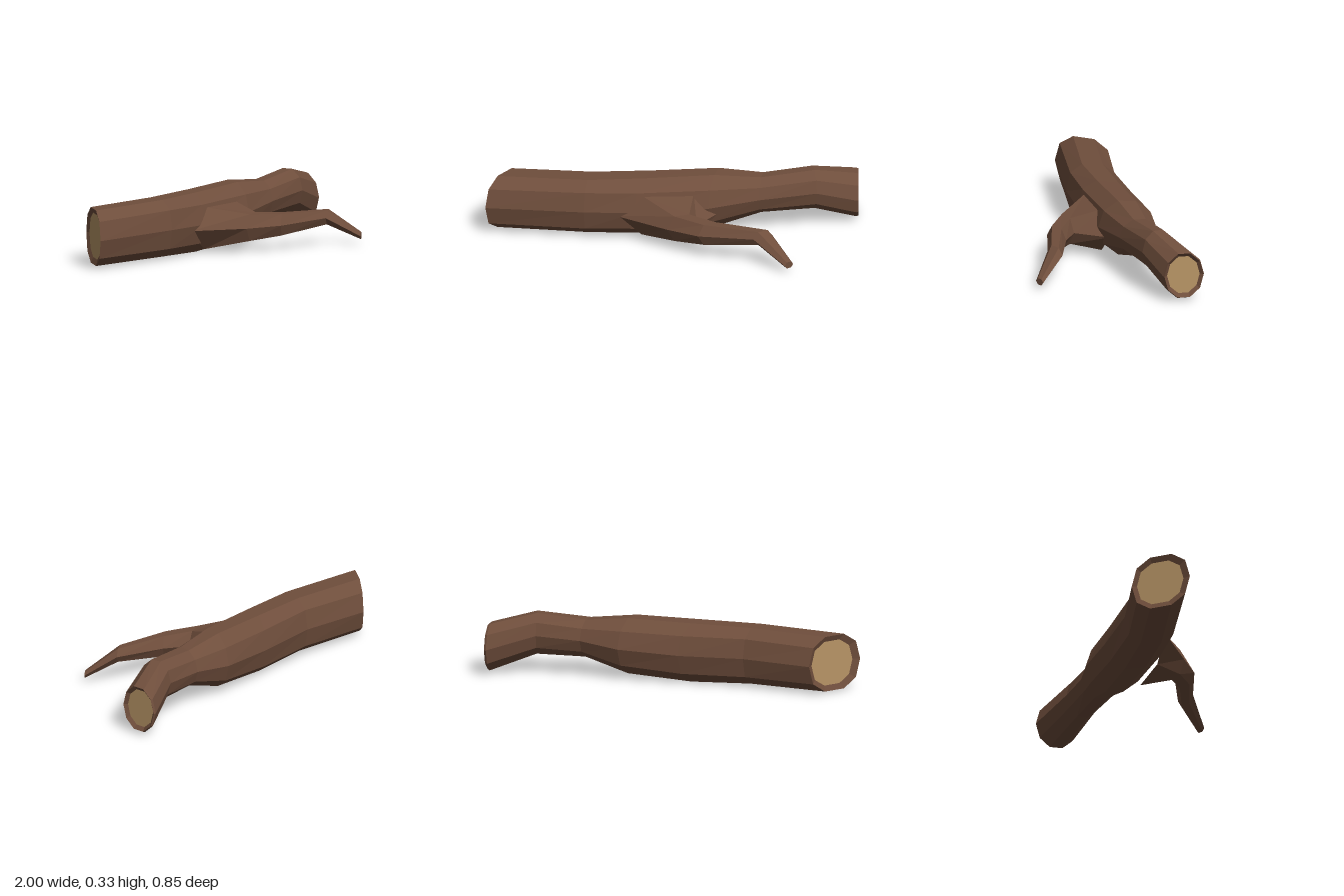
import * as THREE from 'three';

const bark = new THREE.MeshStandardMaterial({ color: 0x6f4e3c, flatShading: true });
bark.name = 'bark brown';
const wood = new THREE.MeshStandardMaterial({ color: 0xb89566, flatShading: true });
wood.name = 'cut wood tan';

// Ring through a front point and a back point (x, z), between two heights.
// k below 1 makes the section boxier.
function ring(n, [fx, fz, bx, bz, lo, hi, k = 1]) {
  const pow = (v) => Math.sign(v) * Math.abs(v) ** k;
  const angles = Array.from({ length: n }, (_, j) => (j / n) * Math.PI * 2);
  const top = Math.max(...angles.map((a) => pow(Math.sin(a))));
  return angles.map((a) => {
    const c = pow(Math.cos(a)) / 2;
    return new THREE.Vector3(
      (fx + bx) / 2 + (fx - bx) * c,
      (lo + hi) / 2 + ((hi - lo) / 2) * (pow(Math.sin(a)) / top),
      (fz + bz) / 2 + (fz - bz) * c
    );
  });
}

function centre(r) {
  return r.reduce((s, p) => s.add(p), new THREE.Vector3()).divideScalar(r.length);
}

// Copy of a ring, shrunk about its centre and pushed along x
function inset(r, scale, dx) {
  const c = centre(r);
  return r.map((p) => p.clone().sub(c).multiplyScalar(scale).add(c).add(new THREE.Vector3(dx, 0, 0)));
}

function mesh(name, points, material) {
  const g = new THREE.BufferGeometry().setFromPoints(points);
  g.computeVertexNormals();
  const m = new THREE.Mesh(g, material);
  m.name = name;
  return m;
}

function loft(name, rings, material) {
  const pts = [];
  for (let i = 0; i + 1 < rings.length; i++) {
    const r = rings[i], s = rings[i + 1], n = r.length;
    for (let j = 0; j < n; j++) {
      const k = (j + 1) % n;
      pts.push(r[j], s[j], s[k], r[j], s[k], r[k]);
    }
  }
  return mesh(name, pts, material);
}

function cap(name, r, atEnd, material) {
  const c = centre(r), pts = [];
  r.forEach((p, j) => {
    const q = r[(j + 1) % r.length];
    pts.push(c, atEnd ? q : p, atEnd ? p : q);
  });
  return mesh(name, pts, material);
}

export function createModel() {
  const log = new THREE.Group();
  log.name = 'fallenLog';

  // Trunk sections: front x, z, back x, z, low y, high y, boxiness
  const sections = [
    [-1, -0.025, -0.8, -0.3, 0.01, 0.312, 0.85],
    [-0.47, 0.025, -0.41, -0.25, 0.01, 0.318, 0.8],
    [-0.2, 0.02, -0.05, -0.28, 0.0, 0.322, 0.9],
    [0.2, -0.01, 0.28, -0.31, 0.025, 0.33],
    [0.47, -0.07, 0.5, -0.285, 0.1, 0.305],
    [0.78, -0.13, 0.74, -0.31, 0.105, 0.33],
    [0.99, -0.2, 0.985, -0.425, 0.018, 0.275],
  ].map((s) => ring(10, s));
  const last = sections[sections.length - 1];
  const lip = inset(last, 0.96, 0.012);
  const leftCut = inset(sections[0], 0.8, 0.015);
  const rightCut = inset(last, 0.8, -0.005);
  log.add(loft('trunk', [leftCut, ...sections, lip, rightCut], bark));

  // Pale sawn faces, set slightly back inside the bark rim
  log.add(cap('cutFaceNarrow', rightCut, true, wood));
  log.add(cap('cutFaceWide', leftCut, false, wood));

  // Side branch, flaring out of the trunk and bending down at the tip
  const branch = [
    [-0.3, 0.0, 0.26, -0.06, 0.02, 0.25],
    [-0.02, 0.165, 0.14, 0.11, 0.06, 0.205],
    [0.15, 0.26, 0.27, 0.18, 0.08, 0.197],
    [0.45, 0.32, 0.55, 0.26, 0.113, 0.188],
    [0.62, 0.42, 0.665, 0.39, 0.025, 0.06],
  ].map((s) => ring(6, s));
  log.add(loft('branch', branch, bark));
  log.add(cap('branchTip', branch[4], true, bark));

  return log;
}
